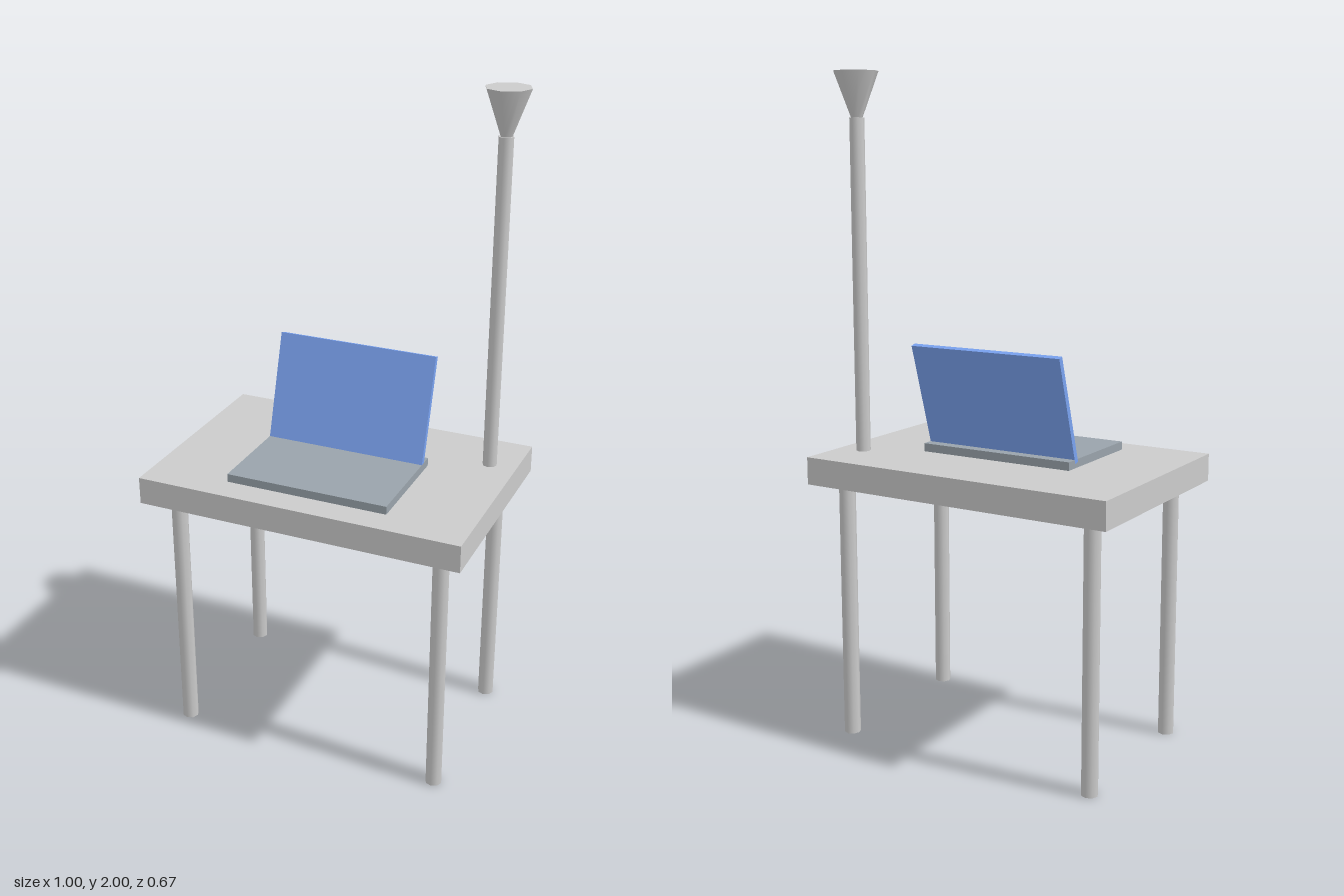
import * as THREE from 'three';

export function createModel() {
  const model = new THREE.Group();
  const grey = new THREE.MeshStandardMaterial({ color: 0xcccccc });
  const slate = new THREE.MeshStandardMaterial({ color: 0x99a3ab });
  const blue = new THREE.MeshStandardMaterial({ color: 0x7aa2f0 });

  const add = (parent, name, geometry, material, x, y, z) => {
    const mesh = new THREE.Mesh(geometry, material);
    mesh.name = name;
    mesh.position.set(x, y, z);
    parent.add(mesh);
    return mesh;
  };

  const topY = 0.878, topThickness = 0.083;
  const legHeight = topY - topThickness;

  // Table: slab on four round legs
  const table = new THREE.Group();
  table.name = 'table';
  add(table, 'tableTop', new THREE.BoxGeometry(1, topThickness, 0.667), grey, 0, topY - topThickness / 2, 0);
  const legGeometry = new THREE.CylinderGeometry(0.025, 0.025, legHeight, 8);
  for (const [xName, x] of [['Left', 0.417], ['Right', -0.417]]) {
    for (const [zName, z] of [['front', 0.25], ['back', -0.25]]) {
      add(table, `${zName}${xName}Leg`, legGeometry, grey, x, legHeight / 2, z);
    }
  }

  // Lamp: tall pole with a flared shade, wide end up
  const lamp = new THREE.Group();
  lamp.name = 'lamp';
  lamp.position.set(0.417, topY, -0.167);
  add(lamp, 'lampPole', new THREE.CylinderGeometry(0.022, 0.022, 0.99, 8), grey, 0, 0.495, 0);
  add(lamp, 'lampShade', new THREE.CylinderGeometry(0.066, 0.0167, 0.133, 8), grey, 0, 1.0555, 0);

  // Laptop: flat base with a screen leaning back
  const laptop = new THREE.Group();
  laptop.name = 'laptop';
  add(laptop, 'laptopBase', new THREE.BoxGeometry(0.5, 0.025, 0.333), slate, 0, topY + 0.0125, 0.083);
  const screen = add(laptop, 'laptopScreen', new THREE.BoxGeometry(0.5, 0.333, 0.0167), blue, 0, 1.051, -0.086);
  screen.rotation.x = -0.3;

  model.add(table, lamp, laptop);
  return model;
}
